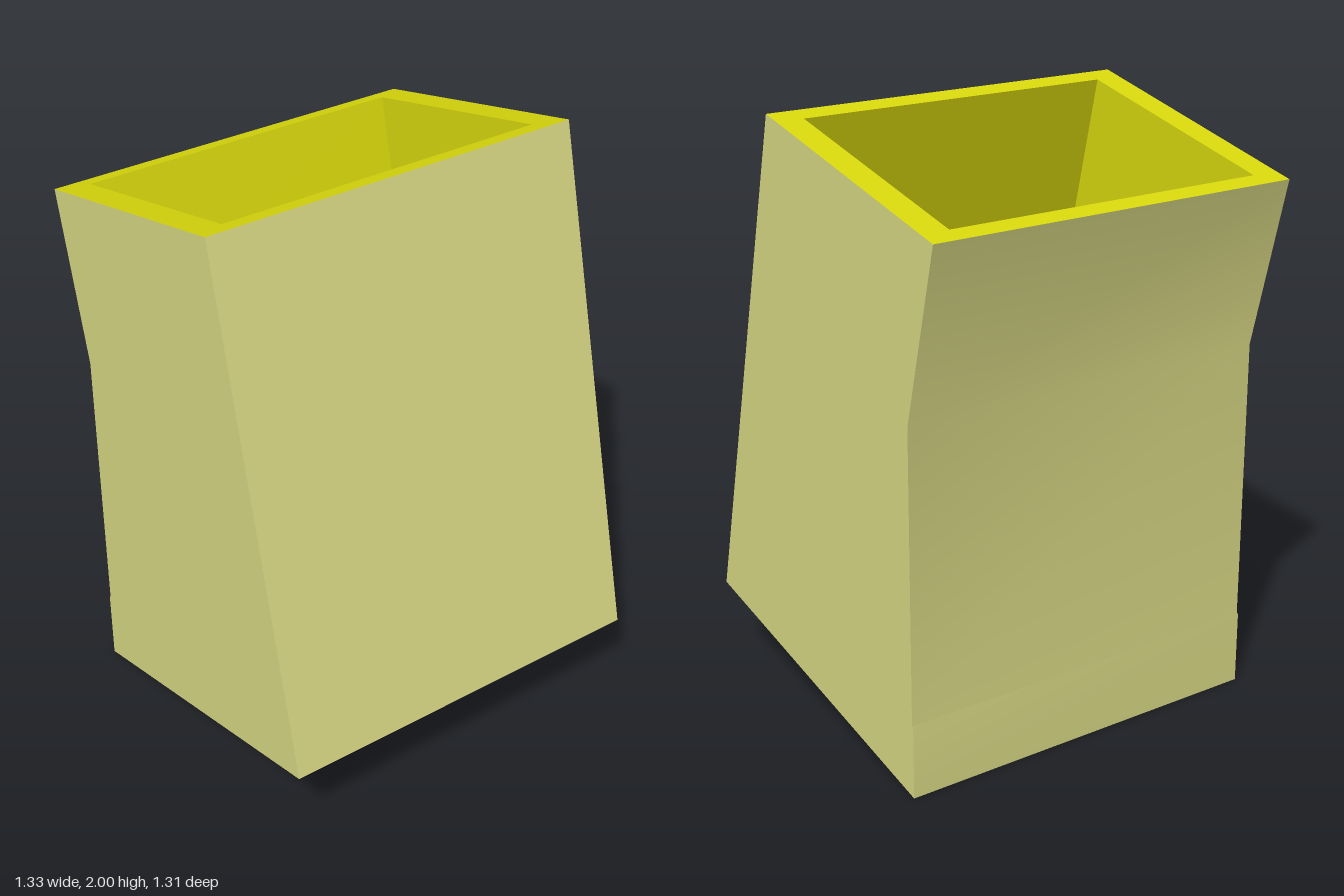
import * as THREE from 'three';

const W = 0.665; // half width of the body
const CW = 0.57; // half width of the cavity

// Strip of quads between x0 and x1 along a [z, y] path; an upward path faces +z.
function strip(x0, x1, path) {
  const n = path.length - 1;
  const geo = new THREE.PlaneGeometry(1, 1, 1, n);
  const pos = geo.attributes.position;
  path.forEach(([z, y], i) => {
    const row = (n - i) * 2;
    pos.setXYZ(row, x0, y, z);
    pos.setXYZ(row + 1, x1, y, z);
  });
  geo.computeVertexNormals();
  return geo;
}

// Flat panel with a [z, y] outline at the given x, facing +x or -x.
function sidePanel(outline, x, facing) {
  const shape = new THREE.Shape(outline.map(([z, y]) => new THREE.Vector2(-facing * z, y)));
  return new THREE.ShapeGeometry(shape).rotateY(facing * Math.PI / 2).translate(x, 0, 0);
}

export function createModel() {
  const model = new THREE.Group();
  model.name = 'leaningContainer';
  const khaki = new THREE.MeshStandardMaterial({ name: 'khaki', color: 0xdada86 });
  const yellow = new THREE.MeshStandardMaterial({ name: 'yellow', color: 0xdada0d });
  const add = (name, geo, mat) => {
    const mesh = new THREE.Mesh(geo, mat);
    mesh.name = name;
    model.add(mesh);
  };

  // Outer profile corners, [z, y]
  const frontLow = [0.657, 0.287], frontTop = [0.242, 2], backTop = [-0.655, 1.787];
  const back = [backTop, [-0.514, 1.215], [-0.514, 0.25], [-0.52, 0.25], [-0.52, 0]];
  const backLow = back[back.length - 1];

  // Body shell; the back is smooth across its bend
  add('frontWall', strip(-W, W, [frontLow, frontTop]), khaki);
  add('backWall', strip(-W, W, back), khaki);
  add('base', strip(-W, W, [backLow, frontLow]), khaki);
  for (const s of [1, -1]) {
    add(s > 0 ? 'leftWall' : 'rightWall', sidePanel([frontLow, frontTop, ...back], s * W, s), khaki);
  }

  // Cavity corners: inset along the sloping top, then sunk along the lean
  const onTop = (t) => frontTop.map((v, i) => v + (backTop[i] - v) * t);
  const sink = ([z, y]) => [z + 0.13, y - 0.543];
  const rimFront = onTop(0.071), rimBack = onTop(0.933);
  const floorFront = sink(rimFront), floorBack = sink(rimBack);

  // Rim around the opening
  add('rimFront', strip(-W, W, [frontTop, rimFront]), yellow);
  add('rimBack', strip(-W, W, [rimBack, backTop]), yellow);
  add('rimLeft', strip(CW, W, [rimFront, rimBack]), yellow);
  add('rimRight', strip(-W, -CW, [rimFront, rimBack]), yellow);

  // Inside of the cavity
  add('cavityFront', strip(-CW, CW, [rimFront, floorFront]), yellow);
  add('cavityFloor', strip(-CW, CW, [floorFront, floorBack]), yellow);
  add('cavityBack', strip(-CW, CW, [floorBack, rimBack]), yellow);
  for (const s of [1, -1]) {
    const outline = [rimFront, floorFront, floorBack, rimBack];
    add(s > 0 ? 'cavityLeft' : 'cavityRight', sidePanel(outline, s * CW, -s), yellow);
  }
  return model;
}
